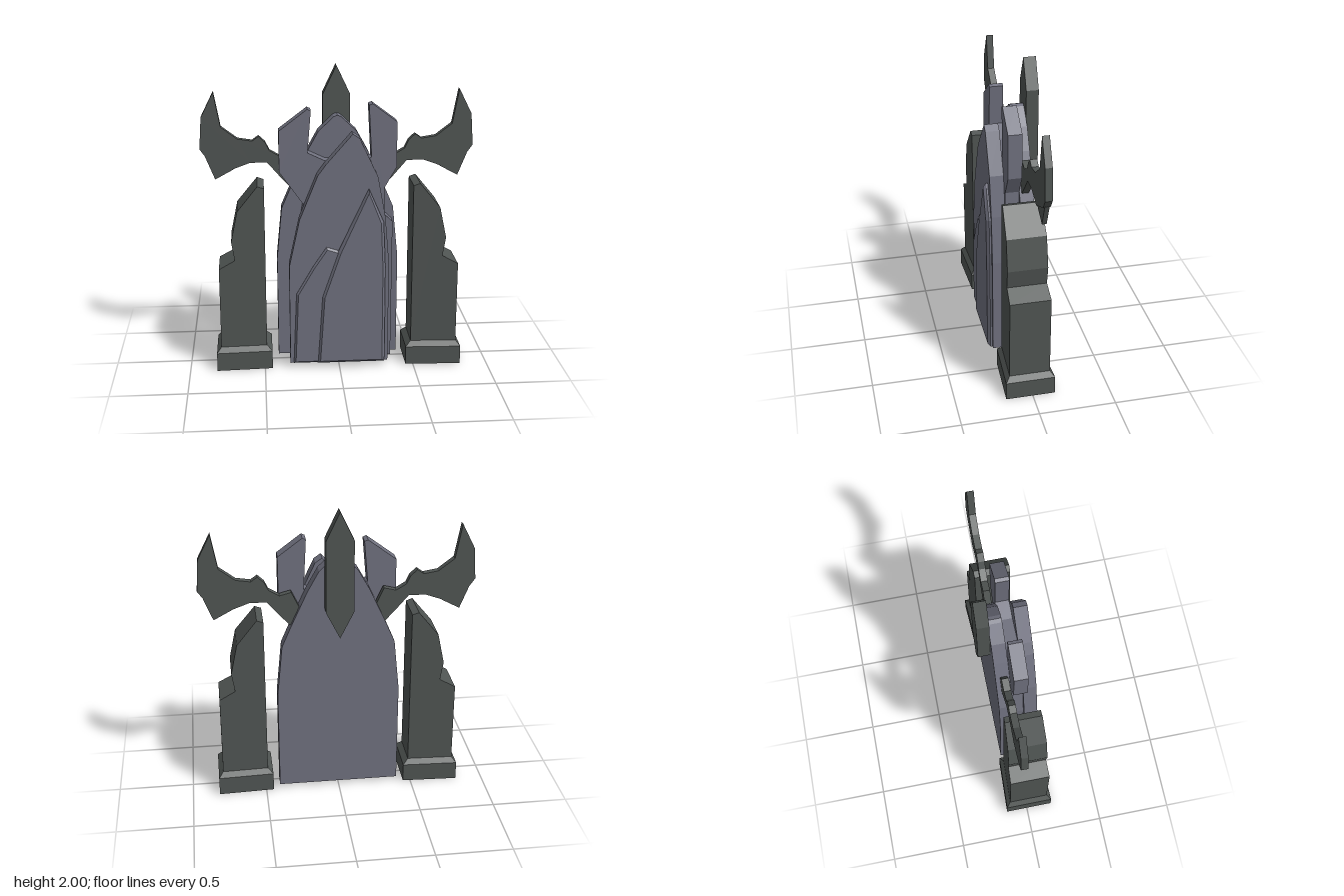
import * as THREE from 'three';

export function createModel() {
  const root = new THREE.Group();
  const slate = new THREE.MeshStandardMaterial({ color: 0x70717f, flatShading: true });
  slate.name = 'slate';
  const darkStone = new THREE.MeshStandardMaterial({ color: 0x505553, flatShading: true, side: THREE.DoubleSide });
  darkStone.name = 'dark stone';

  const add = (name, geometry, material, parent = root) => {
    const mesh = new THREE.Mesh(geometry, material);
    mesh.name = name;
    parent.add(mesh);
    return mesh;
  };
  const mirror = (points, side) => points.map(([x, y]) => [x * side, y]);
  const shapeOf = (points) => new THREE.Shape(points.map(([x, y]) => new THREE.Vector2(x, y)));

  // Flat slab cut from an outline, from z0 to z1
  const slab = (points, z0, z1) =>
    new THREE.ExtrudeGeometry(shapeOf(points), { depth: z1 - z0, bevelEnabled: false }).translate(0, 0, z0);

  // Raised panel with a chamfered rim
  const panel = (points, z0, z1, rim) =>
    new THREE.ExtrudeGeometry(shapeOf(points), {
      depth: z1 - z0 - rim, bevelEnabled: true, bevelSegments: 1,
      bevelThickness: rim, bevelSize: rim, bevelOffset: -rim,
    }).translate(0, 0, z0);

  // Rear pointed arch
  const archSide = [[0.405, 0.025], [0.405, 0.72], [0.37, 1.07], [0.31, 1.21], [0.2, 1.45], [0.125, 1.585], [0.025, 1.68]];
  const arch = [...archSide, [0, 1.69], ...mirror(archSide, -1).reverse()];
  add('rearArch', slab(arch, -0.11, -0.02), slate);

  // Middle layer with two uneven upright prongs
  add('prongedLayer', slab([
    [-0.3, 0.035], [0.355, 0.035], [0.358, 0.99], [0.305, 1.04], [0.3, 1.22], [0.38, 1.36],
    [0.38, 1.66], [0.22, 1.78], [0.197, 1.77], [0.215, 1.43], [0.1, 1.4], [-0.085, 1.41],
    [-0.2, 1.465], [-0.177, 1.74], [-0.2, 1.75], [-0.385, 1.61], [-0.385, 1.34], [-0.23, 1.12], [-0.3, 0.7],
  ], -0.02, 0.07), slate);

  // Front leaning arch
  add('frontArch', slab([
    [-0.33, 0.035], [0.325, 0.035], [0.328, 0.72], [0.3, 1.05], [0.25, 1.32], [0.13, 1.575],
    [0.085, 1.605], [-0.085, 1.41], [-0.14, 1.335], [-0.26, 1.04], [-0.33, 0.72],
  ], 0.07, 0.16), slate);

  // Overlapping raised panels
  add('leftPanel', panel([
    [-0.307, 0.035], [0.05, 0.035], [0.05, 0.8], [0, 0.825], [-0.085, 0.853], [-0.175, 0.72], [-0.285, 0.53],
  ], 0.15, 0.175, 0.013), slate);
  add('rightPanel', panel([
    [-0.148, 0.035], [0.303, 0.035], [0.302, 0.71], [0.288, 1.02], [0.19, 1.245], [-0.01, 0.82], [-0.116, 0.51],
  ], 0.15, 0.19, 0.018), slate);

  // Rear spike
  add('rearSpike', slab([[0, 1.15], [0.09, 1.33], [0.09, 1.81], [0, 2], [-0.09, 1.81], [-0.09, 1.33]], -0.19, -0.11), darkStone);

  const hornOutline = [
    [0.235, 1.3], [0.3, 1.2], [0.37, 1.275], [0.46, 1.38], [0.57, 1.38], [0.688, 1.337], [0.85, 1.412],
    [0.895, 1.476], [0.88, 1.685], [0.797, 1.85], [0.755, 1.62], [0.65, 1.54], [0.555, 1.525],
    [0.513, 1.555], [0.47, 1.515], [0.444, 1.46], [0.376, 1.42], [0.3, 1.44],
  ];
  const finOutline = [[0.68, 1.335], [0.8, 1.27], [0.86, 1.42], [0.8, 1.42]];
  const pillarOutline = [
    [0.485, 0.16], [0.79, 0.16], [0.79, 0.71], [0.685, 0.768], [0.705, 0.895],
    [0.662, 1.1], [0.528, 1.265], [0.485, 1.25],
  ];

  // Half depth of a pillar, growing outward
  const midZ = 0.015;
  const halfDepth = (x) => 0.119 + (Math.abs(x) - 0.485) * 0.043;

  // Open hollow plinth lofted through rectangular rings
  const plinth = (side) => {
    const rings = [[0, 0.45, 0.82, 0.027], [0.125, 0.45, 0.82, 0.027], [0.16, 0.485, 0.79, 0]];
    const positions = [], index = [];
    for (const [y, xi, xo, grow] of rings) {
      for (const [x, dir] of [[xi, 1], [xo, 1], [xo, -1], [xi, -1]]) {
        positions.push(x * side, y, midZ + dir * (halfDepth(x) + grow));
      }
    }
    for (let r = 0; r < rings.length - 1; r++) {
      for (let i = 0; i < 4; i++) {
        const a = r * 4 + i, b = r * 4 + (i + 1) % 4, c = b + 4, d = a + 4;
        index.push(...(side > 0 ? [a, b, c, a, c, d] : [a, c, b, a, d, c]));
      }
    }
    const g = new THREE.BufferGeometry();
    g.setAttribute('position', new THREE.Float32BufferAttribute(positions, 3));
    g.setIndex(index);
    const flat = g.toNonIndexed();
    flat.computeVertexNormals();
    return flat;
  };

  // Mirrored horns and pillars
  for (const [label, side] of [['left', 1], ['right', -1]]) {
    const horn = new THREE.Group();
    horn.name = label + 'Horn';
    add('hornBlade', slab(mirror(hornOutline, side), -0.08, -0.035), darkStone, horn);
    add('hornFin', slab(mirror(finOutline, side), -0.072, -0.043), darkStone, horn);

    const pillar = new THREE.Group();
    pillar.name = label + 'Pillar';
    const body = slab(mirror(pillarOutline, side), -1, 1);
    const p = body.attributes.position;
    for (let i = 0; i < p.count; i++) p.setZ(i, midZ + Math.sign(p.getZ(i)) * halfDepth(p.getX(i)));
    body.computeVertexNormals();
    add('pillarBody', body, darkStone, pillar);
    add('pillarPlinth', plinth(side), darkStone, pillar);
    root.add(horn, pillar);
  }
  return root;
}
